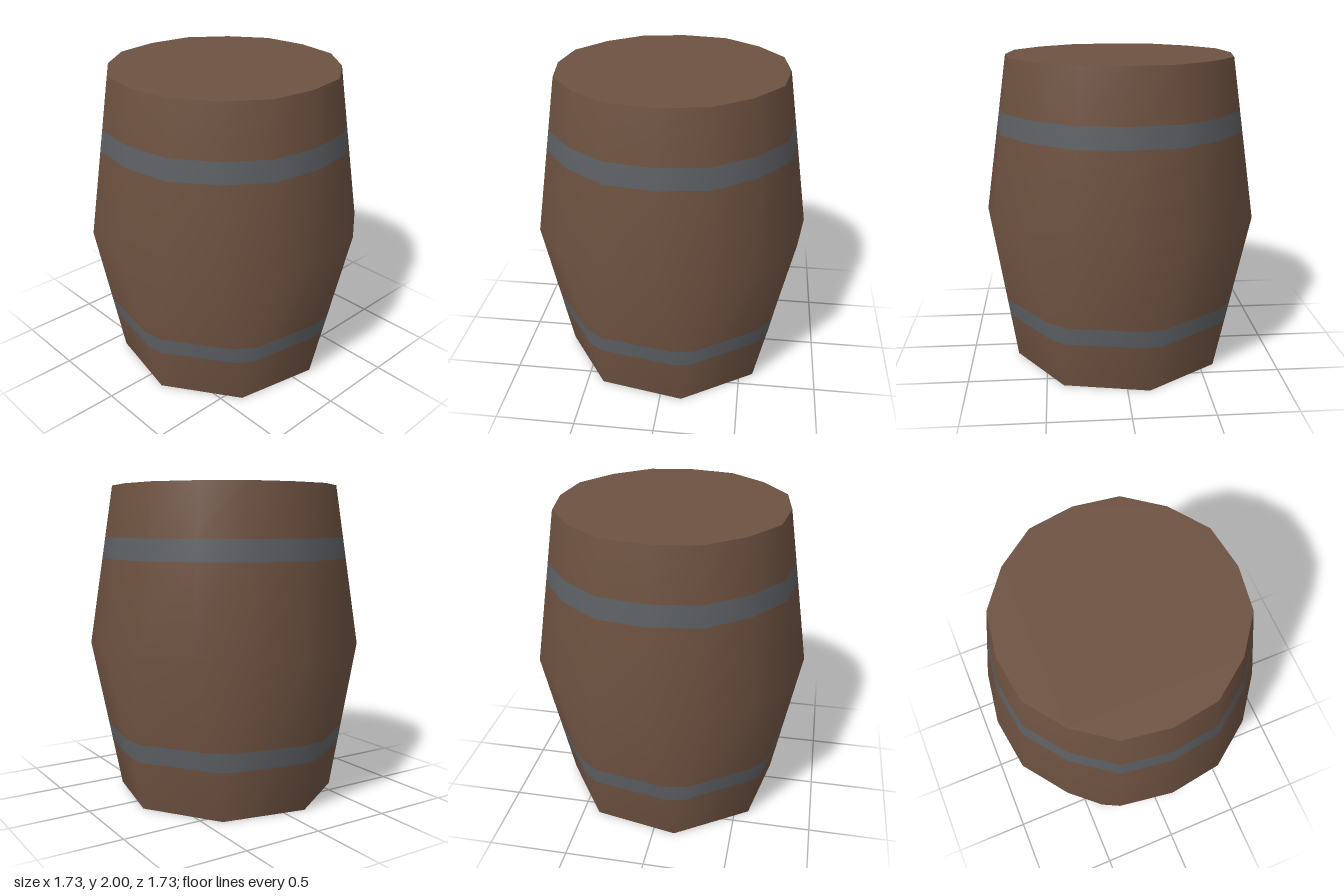
import * as THREE from 'three';

const SIDES = 16;
const STEP = (Math.PI * 2) / SIDES;

// Point of column i on the rim, belly or top ring; rim columns merge in pairs into an octagon
function ringPoint(level, i) {
  const odd = i % 2;
  if (level === 0) {
    const a = (i - odd + 0.5) * STEP;
    return new THREE.Vector3(0.71 * Math.sin(a), 0, 0.71 * Math.cos(a));
  }
  const r = (level === 1 ? 0.867 : 0.715) * (odd ? 1.02 : 1);
  return new THREE.Vector3(r * Math.sin(i * STEP), level, r * Math.cos(i * STEP));
}

// Wall point at height y, straight between the three rings
function wallPoint(y, i) {
  const level = y < 1 ? 0 : 1;
  return ringPoint(level, i).lerp(ringPoint(level + 1, i), y - level);
}

// Band of wall between two heights, with smooth barrel normals
function wallBand(y0, y1) {
  const position = [], normal = [], index = [];
  for (const y of [y0, y1]) {
    for (let i = 0; i <= SIDES; i++) {
      const p = wallPoint(y, i % SIDES);
      position.push(p.x, p.y, p.z);
      const n = new THREE.Vector3(p.x, 0, p.z).normalize();
      n.y = (y - 1) * 0.16;
      n.normalize();
      normal.push(n.x, n.y, n.z);
    }
  }
  const row = SIDES + 1;
  for (let i = 0; i < SIDES; i++) {
    // Skip the collapsed triangle where two rim columns share a point
    if (!(y0 === 0 && i % 2 === 0)) index.push(i, i + 1, row + i + 1);
    index.push(i, row + i + 1, row + i);
  }
  const geometry = new THREE.BufferGeometry();
  geometry.setAttribute('position', new THREE.Float32BufferAttribute(position, 3));
  geometry.setAttribute('normal', new THREE.Float32BufferAttribute(normal, 3));
  geometry.setIndex(index);
  return geometry;
}

export function createModel() {
  const wood = new THREE.MeshStandardMaterial({ color: 0x6e5241 });
  wood.name = 'wood';
  wood.side = THREE.DoubleSide;
  const iron = new THREE.MeshStandardMaterial({ color: 0x5d6064 });
  iron.name = 'iron';
  iron.side = THREE.DoubleSide;

  const barrel = new THREE.Group();
  barrel.name = 'barrel';
  const add = (name, geometry, material) => {
    const mesh = new THREE.Mesh(geometry, material);
    mesh.name = name;
    barrel.add(mesh);
    return mesh;
  };

  // Staves and flush hoops, bottom to top; the bottom is open
  add('bottomStaves', wallBand(0, 0.32), wood);
  add('lowerHoop', wallBand(0.32, 0.44), iron);
  add('lowerBelly', wallBand(0.44, 1), wood);
  add('upperBelly', wallBand(1, 1.545), wood);
  add('upperHoop', wallBand(1.545, 1.675), iron);
  add('topStaves', wallBand(1.675, 2), wood);

  // Flat lid
  const outline = [];
  for (let i = 0; i < SIDES; i++) {
    const p = ringPoint(2, i);
    outline.push(new THREE.Vector2(p.x, -p.z));
  }
  const lid = new THREE.ShapeGeometry(new THREE.Shape(outline));
  lid.rotateX(-Math.PI / 2);
  add('lid', lid, wood).position.y = 2;

  return barrel;
}
